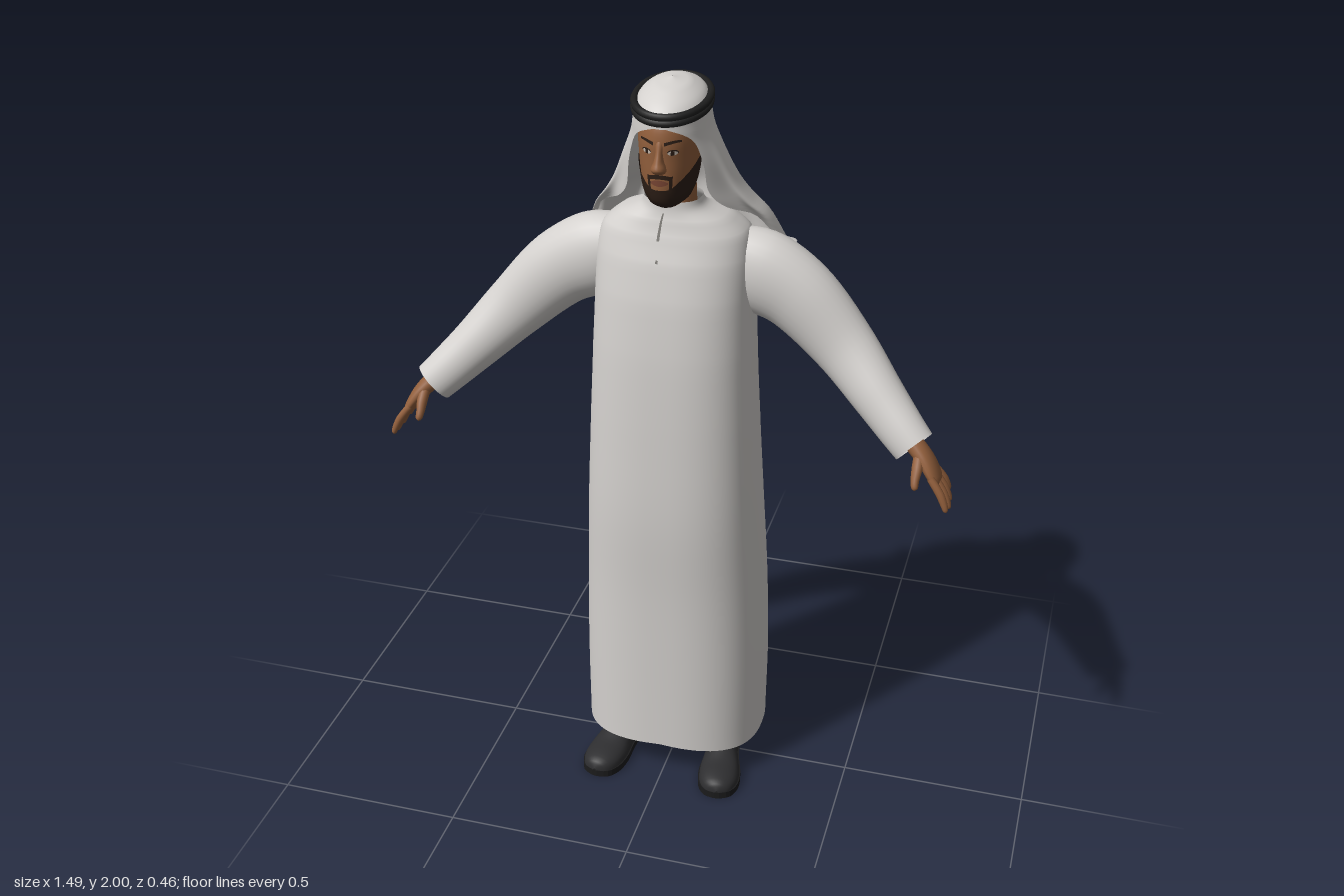
import * as THREE from 'three';
import { mergeVertices } from 'three/addons/utils/BufferGeometryUtils.js';

const material = (name, color, double) => {
  const m = new THREE.MeshStandardMaterial({ color });
  m.name = name;
  if (double) m.side = THREE.DoubleSide;
  return m;
};

// Smooth (Catmull-Rom) sampling of evenly spaced key rows, s in 0..1
function sample(keys, s) {
  const n = keys.length - 1, x = Math.min(Math.max(s, 0), 1) * n;
  const k = Math.min(Math.floor(x), n - 1), f = x - k;
  const p0 = keys[Math.max(k - 1, 0)], p1 = keys[k], p2 = keys[k + 1], p3 = keys[Math.min(k + 2, n)];
  return p1.map((b, i) => {
    const a = p0[i], c = p2[i], d = p3[i];
    return b + 0.5 * f * (c - a + f * (2 * a - 5 * b + 4 * c - d + f * (3 * (b - c) + d - a)));
  });
}

// Smooth surface from a function of u and v, both 0..1
function grid(nu, nv, fn) {
  const pos = [], idx = [];
  for (let j = 0; j <= nv; j++) for (let i = 0; i <= nu; i++) pos.push(...fn(i / nu, j / nv));
  for (let j = 0; j < nv; j++) for (let i = 0; i < nu; i++) {
    const a = j * (nu + 1) + i, c = a + nu + 1;
    idx.push(a, a + 1, c, a + 1, c + 1, c);
  }
  let g = new THREE.BufferGeometry();
  g.setAttribute('position', new THREE.Float32BufferAttribute(pos, 3));
  g.setIndex(idx);
  g = mergeVertices(g, 1e-5);
  g.computeVertexNormals();
  return g;
}

// Body of stacked rings; key rows are [y, half width, front z, back z]
function body(keys, power = 2) {
  const n = keys.length - 1;
  const at = (a, y, off = 0) => {
    let k = 0;
    while (k < n - 1 && y > keys[k + 1][0]) k++;
    const f = (y - keys[k][0]) / (keys[k + 1][0] - keys[k][0]);
    const [, rx, zf, zb] = sample(keys, (k + f) / n);
    const bend = (t) => Math.sign(t) * Math.abs(t) ** (2 / power);
    const s = Math.sin(a), c = Math.cos(a);
    return [rx * bend(s) + off * s, y, (zf + zb) / 2 + (zf - zb) / 2 * bend(c) + off * c];
  };
  const yAt = (v) => {
    const k = Math.min(Math.floor(v * n), n - 1);
    return keys[k][0] + (keys[k + 1][0] - keys[k][0]) * (v * n - k);
  };
  const geometry = (nu, nv, warp = (p) => p) =>
    grid(nu, nv, (u, v) => warp(at(u * Math.PI * 2, yAt(v)), v));
  // Thin painted area between two heights, over a range of angles
  const patch = (a0, a1, low, high, off = 0.003) => grid(16, 6, (u, v) => {
    const a = a0 + (a1 - a0) * u;
    return at(a, low(a) + (high(a) - low(a)) * v, off);
  });
  return { geometry, patch };
}

// Swept limb; key rows are [x, y, z, radius along z, radius across]
function limb(keys, nu, nv) {
  return grid(nu, nv, (u, v) => {
    const p = sample(keys, v), q0 = sample(keys, v - 0.01), q1 = sample(keys, v + 0.01);
    const d = new THREE.Vector3(q1[0] - q0[0], q1[1] - q0[1], q1[2] - q0[2]).normalize();
    const e1 = new THREE.Vector3(0, 0, 1).addScaledVector(d, -d.z).normalize();
    const e2 = new THREE.Vector3().crossVectors(d, e1);
    const a = u * Math.PI * 2;
    return new THREE.Vector3(p[0], p[1], p[2])
      .addScaledVector(e1, p[3] * Math.cos(a)).addScaledVector(e2, p[4] * Math.sin(a)).toArray();
  });
}

function mirrored(geo) {
  const g = geo.index ? geo.clone() : mergeVertices(geo);
  g.scale(-1, 1, 1);
  const ix = g.index;
  for (let i = 0; i < ix.count; i += 3) {
    const t = ix.getX(i);
    ix.setX(i, ix.getX(i + 1));
    ix.setX(i + 1, t);
  }
  g.computeVertexNormals();
  return g;
}

export function createModel() {
  const model = new THREE.Group();
  const cloth = material('white cloth', 0xd3d0cd, true), skin = material('skin', 0x925f3c);
  const hair = material('dark hair', 0x2c1e16, true), cord = material('black cord', 0x1e1e1e);
  const leather = material('shoe leather', 0x2e2e30), soleMat = material('shoe sole', 0x1b1b1c);
  const lip = material('lips', 0x7a4634, true), white = material('eye white', 0xc4b9ae, true);
  const seam = material('seam grey', 0x77746f, true);
  const add = (name, geo, mat) => {
    const m = new THREE.Mesh(geo, mat);
    m.name = name;
    model.add(m);
  };
  const pair = (name, geo, mat) => {
    add('left' + name, geo, mat);
    add('right' + name, mirrored(geo), mat);
  };
  const flat = (y) => () => y;

  // Long robe with a standing collar and front opening
  const robe = body([
    [0.1, 0.25, 0.18, -0.22], [0.35, 0.251, 0.18, -0.225], [0.6, 0.244, 0.182, -0.21],
    [0.85, 0.232, 0.19, -0.185], [1.1, 0.219, 0.182, -0.16], [1.3, 0.209, 0.17, -0.147],
    [1.45, 0.203, 0.152, -0.142], [1.55, 0.2, 0.13, -0.137], [1.615, 0.185, 0.108, -0.118],
    [1.655, 0.14, 0.095, -0.09], [1.68, 0.086, 0.088, -0.05], [1.705, 0.071, 0.086, -0.035]], 2.5);
  add('robe', robe.geometry(72, 55, ([x, y, z], v) =>
    [x, y + Math.max(0, 1 - v * 12) * 0.016 * Math.max(0, 1 - Math.abs(x) / 0.22), z]), cloth);
  add('frontOpening', robe.patch(-0.06, -0.035, flat(1.61), flat(1.675), 0.002), seam);
  add('robeButton', robe.patch(-0.05, -0.03, flat(1.558), flat(1.566), 0.002), seam);

  // Sleeves, hands and fingers
  pair('Sleeve', limb([
    [0.1, 1.55, -0.01, 0.06, 0.07], [0.2, 1.512, -0.018, 0.08, 0.108], [0.31, 1.455, -0.015, 0.076, 0.1],
    [0.43, 1.34, 0.0, 0.066, 0.083], [0.53, 1.238, 0.045, 0.06, 0.068],
    [0.6, 1.17, 0.082, 0.052, 0.06], [0.638, 1.134, 0.1, 0.048, 0.056]], 28, 36), cloth);
  pair('Hand', limb([
    [0.59, 1.18, 0.08, 0.026, 0.024], [0.635, 1.145, 0.1, 0.027, 0.024], [0.668, 1.112, 0.11, 0.036, 0.021],
    [0.692, 1.078, 0.117, 0.042, 0.017], [0.703, 1.058, 0.119, 0.036, 0.012], [0.706, 1.052, 0.119, 0, 0]], 18, 20), skin);
  for (let i = 0; i < 4; i++) {
    const z = 0.086 + i * 0.022, len = [0.8, 0.95, 1, 0.92][i], sp = (i - 1.5) * 0.005;
    pair('Finger' + (i + 1), limb([
      [0.69, 1.08, z, 0.01, 0.01], [0.69 + 0.028 * len, 1.08 - 0.038 * len, z + sp, 0.0105, 0.0105],
      [0.69 + 0.043 * len, 1.08 - 0.068 * len, z + sp * 1.6, 0.009, 0.009],
      [0.69 + 0.049 * len, 1.08 - 0.085 * len, z + sp * 2, 0.006, 0.006],
      [0.69 + 0.05 * len, 1.08 - 0.088 * len, z + sp * 2, 0, 0]], 10, 12), skin);
  }
  pair('Thumb', limb([
    [0.655, 1.125, 0.12, 0.014, 0.014], [0.655, 1.1, 0.147, 0.014, 0.014], [0.654, 1.077, 0.166, 0.011, 0.011],
    [0.656, 1.06, 0.177, 0.008, 0.008], [0.657, 1.055, 0.18, 0, 0]], 10, 12), skin);

  // Head, neck and face
  const head = body([
    [1.693, 0.004, 0.085, 0.05], [1.702, 0.032, 0.118, 0.02], [1.72, 0.049, 0.14, -0.01],
    [1.75, 0.062, 0.148, -0.035], [1.79, 0.07, 0.151, -0.05], [1.83, 0.074, 0.152, -0.055],
    [1.875, 0.076, 0.153, -0.055], [1.915, 0.071, 0.143, -0.05], [1.945, 0.05, 0.11, -0.03], [1.955, 0.002, 0.04, 0.035]]);
  add('head', head.geometry(40, 40), skin);
  const neck = new THREE.CylinderGeometry(0.054, 0.06, 0.15, 28);
  neck.translate(0, 1.685, 0.024);
  add('neck', neck, skin);
  add('nose', body([
    [1.797, 0.004, 0.152, 0.14], [1.803, 0.016, 0.17, 0.135], [1.814, 0.018, 0.181, 0.135],
    [1.83, 0.012, 0.174, 0.135], [1.85, 0.009, 0.164, 0.135], [1.872, 0.01, 0.156, 0.135], [1.885, 0.002, 0.15, 0.14]]).geometry(18, 20), skin);
  add('beard', head.patch(-1.6, 1.6, flat(1.7), (a) => 1.757 + 0.06 * Math.max(0, Math.abs(a) - 0.35)), hair);
  add('moustache', head.patch(-0.4, 0.4, (a) => 1.786 - 0.03 * a * a, (a) => 1.797 - 0.035 * a * a), hair);
  pair('MouthBeard', head.patch(0.33, 0.44, flat(1.75), flat(1.793)), hair);
  add('lips', head.patch(-0.3, 0.3, (a) => 1.768 + 0.07 * a * a, (a) => 1.784 - 0.07 * a * a, 0.005), lip);
  const lid = (s) => (a) => 1.851 + s * 0.0058 * Math.sqrt(Math.max(0, 1 - ((a - 0.42) / 0.16) ** 2));
  pair('Eye', head.patch(0.26, 0.58, lid(-1), lid(1), 0.002), white);
  pair('Iris', head.patch(0.36, 0.47, lid(-0.95), lid(0.95), 0.003), hair);
  pair('Eyelid', head.patch(0.25, 0.59, lid(1), (a) => lid(1)(a) + 0.003, 0.0035), hair);
  const brow = (a) => 1.868 + 0.008 * Math.sin((a - 0.15) * 3.4);
  pair('Eyebrow', head.patch(0.17, 0.68, brow, (a) => brow(a) + 0.0085 - 0.007 * (a - 0.17)), hair);

  // Headscarf crown, tilted towards the back
  const tilt = (z) => -0.16 * (z - 0.035);
  add('scarfCrown', body([
    [1.925, 0.092, 0.15, -0.08], [1.945, 0.088, 0.146, -0.076], [1.968, 0.074, 0.125, -0.057],
    [1.989, 0.044, 0.086, -0.016], [2.0, 0.001, 0.036, 0.034]]).geometry(40, 20, ([x, y, z]) => [x, Math.min(2, y + tilt(z)), z]), cloth);

  // Headscarf drape: [y, half width, centre z, back depth, front depth, wrap angle, fold depth]
  const drape = [
    [1.93, 0.092, 0.035, 0.115, 0.115, 3.14, 0], [1.905, 0.094, 0.035, 0.118, 0.115, 2.6, 0],
    [1.87, 0.101, 0.03, 0.125, 0.115, 2.3, 0.001], [1.81, 0.124, 0.02, 0.145, 0.11, 2.3, 0.004],
    [1.74, 0.154, 0, 0.16, 0.1, 2.42, 0.007], [1.69, 0.185, -0.02, 0.168, 0.09, 2.3, 0.01],
    [1.64, 0.222, -0.05, 0.155, 0.07, 1.98, 0.013], [1.56, 0.255, -0.09, 0.118, 0.05, 1.65, 0.016],
    [1.5, 0.272, -0.125, 0.085, 0.05, 1.5, 0.018], [1.43, 0.26, -0.137, 0.07, 0.05, 1.47, 0.018],
    [1.36, 0.24, -0.14, 0.06, 0.05, 1.45, 0.018]];
  const hem = [1.46, 1.3, 1.2, 1.34, 1.46, 1.44, 1.34, 1.21, 1.36, 1.46, 1.5];
  add('scarfDrape', grid(96, 44, (u, v) => {
    const [y, rx, zc, rb, rf, wrap, fold] = sample(drape, v);
    const t = (u * 2 - 1) * wrap, c = Math.cos(t);
    const k = Math.min(Math.floor(u * 10), 9), h = hem[k] + (hem[k + 1] - hem[k]) * (u * 10 - k);
    const low = Math.max(0, (v - 0.7) / 0.3);
    const z = zc - (c > 0 ? rb : rf) * c - fold * Math.cos(9 * t + 0.4);
    return [rx * Math.sin(t) * (1 + fold * 1.5 * Math.sin(9 * t)),
      y + (h - 1.36) * low + tilt(z) * Math.max(0, 1 - v * 3), z];
  }), cloth);

  // Double head cord
  for (const y of [1.938, 1.953]) {
    const pts = Array.from({ length: 24 }, (_, i) => {
      const a = i / 24 * Math.PI * 2, z = 0.035 + 0.112 * Math.cos(a);
      return new THREE.Vector3(0.089 * Math.sin(a), y + tilt(z), z);
    });
    add('headCord', new THREE.TubeGeometry(new THREE.CatmullRomCurve3(pts, true), 64, 0.0095, 8, true), cord);
  }

  // Lower legs and shoes, toes turned out
  const place = (g) => g.rotateY(0.16).translate(0.154, 0, 0.072);
  const shoe = [
    [-0.156, 0.012, 0.05], [-0.146, 0.033, 0.075], [-0.11, 0.043, 0.085], [-0.05, 0.043, 0.085],
    [0, 0.047, 0.066], [0.06, 0.056, 0.046], [0.11, 0.053, 0.039], [0.145, 0.034, 0.029], [0.157, 0.004, 0.008]];
  pair('Shoe', place(grid(28, 28, (u, v) => {
    const [z, w, h] = sample(shoe, v), a = u * Math.PI * 2, s = Math.sin(a);
    return [w * Math.cos(a), 0.018 + (s > 0 ? h * s ** 0.8 : 0), z];
  })), leather);
  const outline = [1, -1].flatMap((s) => {
    const side = Array.from({ length: 25 }, (_, i) => sample(shoe, i / 24)).map((r) => new THREE.Vector2(s * (r[1] + 0.003), r[0]));
    return s > 0 ? side : side.reverse();
  });
  const sole = new THREE.ExtrudeGeometry(new THREE.Shape(outline), { depth: 0.02, bevelEnabled: false });
  pair('Sole', place(sole.rotateX(Math.PI / 2).translate(0, 0.02, 0)), soleMat);
  pair('Leg', limb([[0.12, 0.6, -0.01, 0.06, 0.06], [0.13, 0.35, -0.02, 0.055, 0.052],
    [0.138, 0.15, -0.02, 0.038, 0.034], [0.14, 0.07, -0.015, 0.038, 0.034]], 20, 14), skin);
  return model;
}
